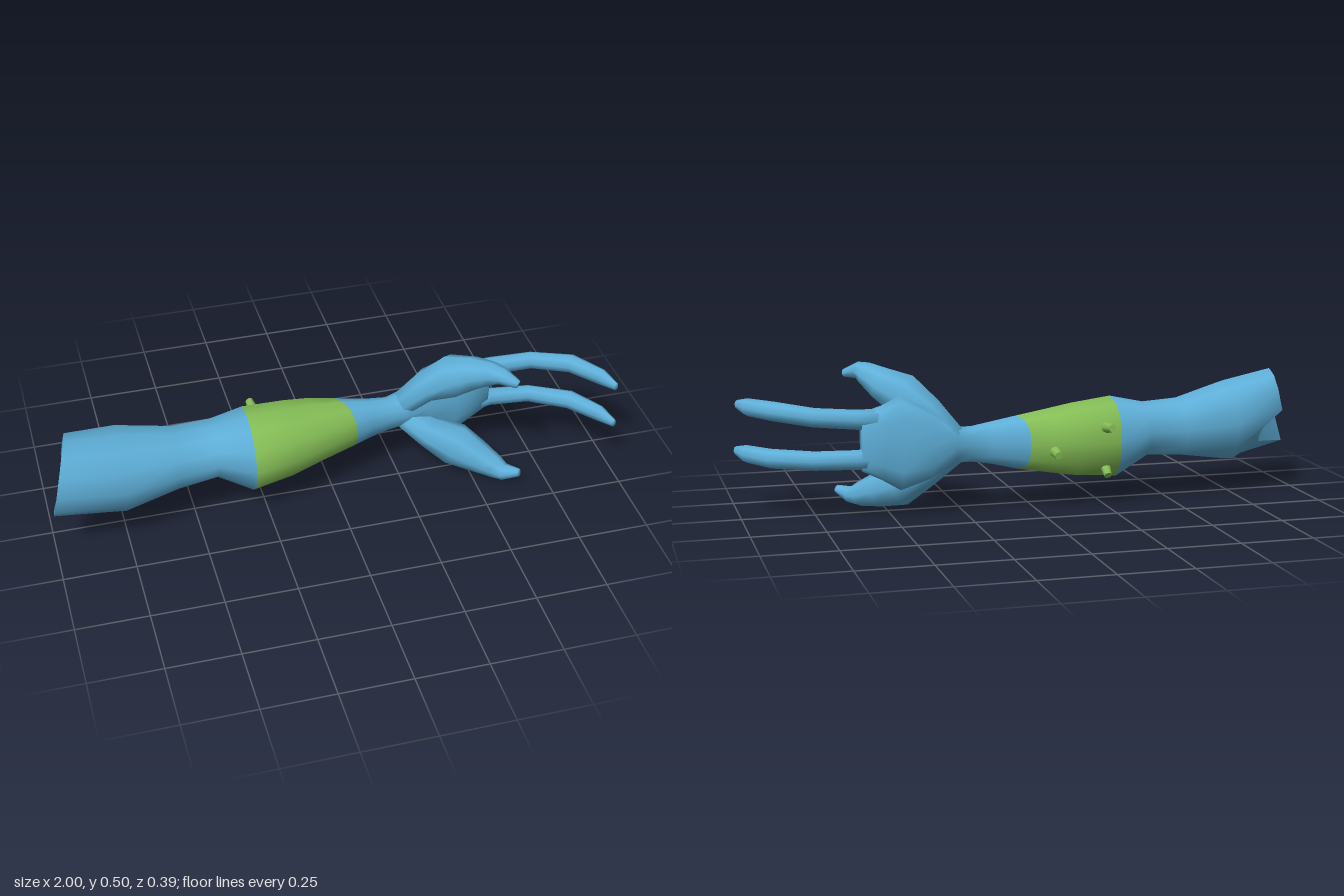
import * as THREE from 'three';

const SIDES = 12;
const V = (x, y, z) => new THREE.Vector3(x, y, z);

// Skin a list of rings; shared vertices keep the surface smooth
function loft(rings, capStart, capEnd, bands) {
  const n = rings[0].length, pos = [], idx = [];
  rings.forEach(r => r.forEach(p => pos.push(p.x, p.y, p.z)));
  const centre = r => r.reduce((s, p) => s.add(p), V(0, 0, 0)).divideScalar(n);
  const geo = new THREE.BufferGeometry();
  for (let i = 0; i < rings.length - 1; i++) {
    const start = idx.length;
    for (let j = 0; j < n; j++) {
      const a = i * n + j, b = i * n + (j + 1) % n;
      idx.push(a, b, a + n, b, b + n, a + n);
    }
    if (bands) geo.addGroup(start, idx.length - start, bands(i));
  }
  const fan = (i, flip) => {
    const c = centre(rings[i]), k = pos.length / 3, start = idx.length;
    pos.push(c.x, c.y, c.z);
    for (let j = 0; j < n; j++) {
      const a = i * n + j, b = i * n + (j + 1) % n;
      idx.push(k, flip ? b : a, flip ? a : b);
    }
    if (bands) geo.addGroup(start, idx.length - start, 0);
  };
  if (capStart) fan(0, true);
  if (capEnd) fan(rings.length - 1, false);
  geo.setAttribute('position', new THREE.Float32BufferAttribute(pos, 3));
  geo.setIndex(idx);
  geo.computeVertexNormals();
  return geo;
}

// Ring facing +x, leaning along x with y and z; the back half is a little squarer.
// notch pulls the lower back corner along +x.
function armRing([x, y0, y1, z0, z1, leanZ = 0, leanY = 0, notch = 0]) {
  const ry = (y1 - y0) / 2, rz = (z1 - z0) / 2;
  const square = v => Math.sign(v) * Math.abs(v) ** 0.82;
  return Array.from({ length: SIDES }, (_, j) => {
    const a = j / SIDES * Math.PI * 2;
    const c = Math.cos(a), s = Math.sin(a);
    const dy = (s < 0 ? square(c) : c) * ry, dz = (s < 0 ? square(s) : s) * rz;
    const corner = notch * Math.max(0, -dy) * Math.max(0, -dz);
    return V(x + leanZ * dz + leanY * dy + corner, (y0 + y1) / 2 + dy, (z0 + z1) / 2 + dz);
  });
}

// Tapering digit along points [x, y, z, half height, half thickness]
function digit(points, sides = 8) {
  const at = i => V(...points[Math.min(Math.max(i, 0), points.length - 1)].slice(0, 3));
  const rings = points.map(([, , , rn, rb], i) => {
    const t = at(i + 1).sub(at(i - 1)).normalize();
    const b = t.clone().cross(V(0, 1, 0)).normalize();
    const up = b.clone().cross(t);
    return Array.from({ length: sides }, (_, j) => {
      const a = j / sides * Math.PI * 2;
      return at(i).addScaledVector(up, Math.cos(a) * rn).addScaledVector(b, Math.sin(a) * rb);
    });
  });
  return loft(rings, true, true);
}

export function createModel() {
  const skin = new THREE.MeshStandardMaterial({ color: 0x5fb0da });
  skin.name = 'blueSkin';
  const band = new THREE.MeshStandardMaterial({ color: 0x86bf57 });
  band.name = 'greenBand';

  const model = new THREE.Group();
  model.name = 'arm';
  const add = (name, geo, mat) => {
    const mesh = new THREE.Mesh(geo, mat);
    mesh.name = name;
    model.add(mesh);
    return mesh;
  };

  // Upper arm, forearm band, wrist and palm: x, bottom, top, back, front, leans, notch
  const sections = [
    [-0.962, 0.16, 0.43, -0.06, 0.19, -0.2, 0.2, 12],
    [-0.75, 0.11, 0.40, -0.11, 0.175],
    [-0.56, 0.14, 0.348, -0.105, 0.12],
    [-0.42, 0.15, 0.342, -0.115, 0.10],
    [-0.30, 0.08, 0.367, -0.145, 0.143],
    [-0.15, 0.095, 0.352, -0.155, 0.11],
    [-0.05, 0.115, 0.338, -0.152, 0.068, 0.2],
    [0.055, 0.135, 0.322, -0.13, 0.025, 0.45],
    [0.15, 0.158, 0.305, -0.108, 0.0, 0.1],
    [0.22, 0.17, 0.294, -0.108, -0.015],
    [0.28, 0.172, 0.298, -0.135, -0.02],
    [0.37, 0.125, 0.365, -0.162, -0.035],
    [0.47, 0.09, 0.415, -0.148, -0.03],
    [0.535, 0.13, 0.385, -0.14, -0.045],
    [0.605, 0.165, 0.366, -0.128, -0.07],
  ];
  const armRings = sections.map(armRing);
  add('armAndPalm', loft(armRings, false, true, i => (i >= 4 && i < 7 ? 1 : 0)), [skin, band]);

  // Slanted cut at the shoulder end
  const middle = V(-0.95, 0.295, 0.065);
  add('shoulderEnd', loft([armRings[0].map(p => p.clone().lerp(middle, 0.98)), armRings[0]], true, false), skin);

  // Two long curved fingers
  const finger = (y0, y1, dx) => digit([
    [0.52, y0, -0.095, 0.045, 0.035],
    [0.62, y0 + (y1 - y0) * 0.3, -0.1, 0.034, 0.028],
    [0.76, y0 + (y1 - y0) * 0.6, -0.082, 0.033, 0.026],
    [0.885 + dx, y1, -0.005, 0.034, 0.032],
    [0.957 + dx, y1, 0.1, 0.031, 0.024],
    [0.985 + dx, y1, 0.17, 0.015, 0.01],
  ]);
  add('upperFinger', finger(0.332, 0.367, 0), skin);
  add('lowerFinger', finger(0.205, 0.206, 0.008), skin);

  // Two thumbs, spread above and below the palm
  add('upperThumb', digit([
    [0.28, 0.255, -0.08, 0.045, 0.05],
    [0.36, 0.345, -0.045, 0.055, 0.072],
    [0.44, 0.4, 0.0, 0.08, 0.075],
    [0.5, 0.435, 0.052, 0.06, 0.06],
    [0.545, 0.464, 0.11, 0.042, 0.042],
    [0.567, 0.472, 0.142, 0.03, 0.032],
    [0.61, 0.458, 0.185, 0.014, 0.015],
  ]), skin);
  add('lowerThumb', digit([
    [0.28, 0.215, -0.08, 0.045, 0.05],
    [0.37, 0.145, -0.045, 0.055, 0.072],
    [0.46, 0.095, 0.0, 0.08, 0.075],
    [0.525, 0.065, 0.048, 0.06, 0.06],
    [0.58, 0.042, 0.1, 0.042, 0.042],
    [0.605, 0.036, 0.13, 0.03, 0.032],
    [0.647, 0.052, 0.168, 0.014, 0.015],
  ]), skin);

  // Short studs on the back of the band: base and tip
  const studs = [
    [V(-0.245, 0.278, -0.12), V(-0.25, 0.286, -0.193)],
    [V(-0.06, 0.208, -0.13), V(-0.06, 0.2, -0.19)],
    [V(-0.25, 0.155, -0.095), V(-0.25, 0.112, -0.147)],
  ];
  studs.forEach(([base, tip], i) => {
    const dir = tip.clone().sub(base);
    const stud = add('stud' + (i + 1), new THREE.CylinderGeometry(0.014, 0.021, dir.length(), 8), band);
    stud.position.copy(base).add(tip).multiplyScalar(0.5);
    stud.quaternion.setFromUnitVectors(V(0, 1, 0), dir.normalize());
  });

  return model;
}
